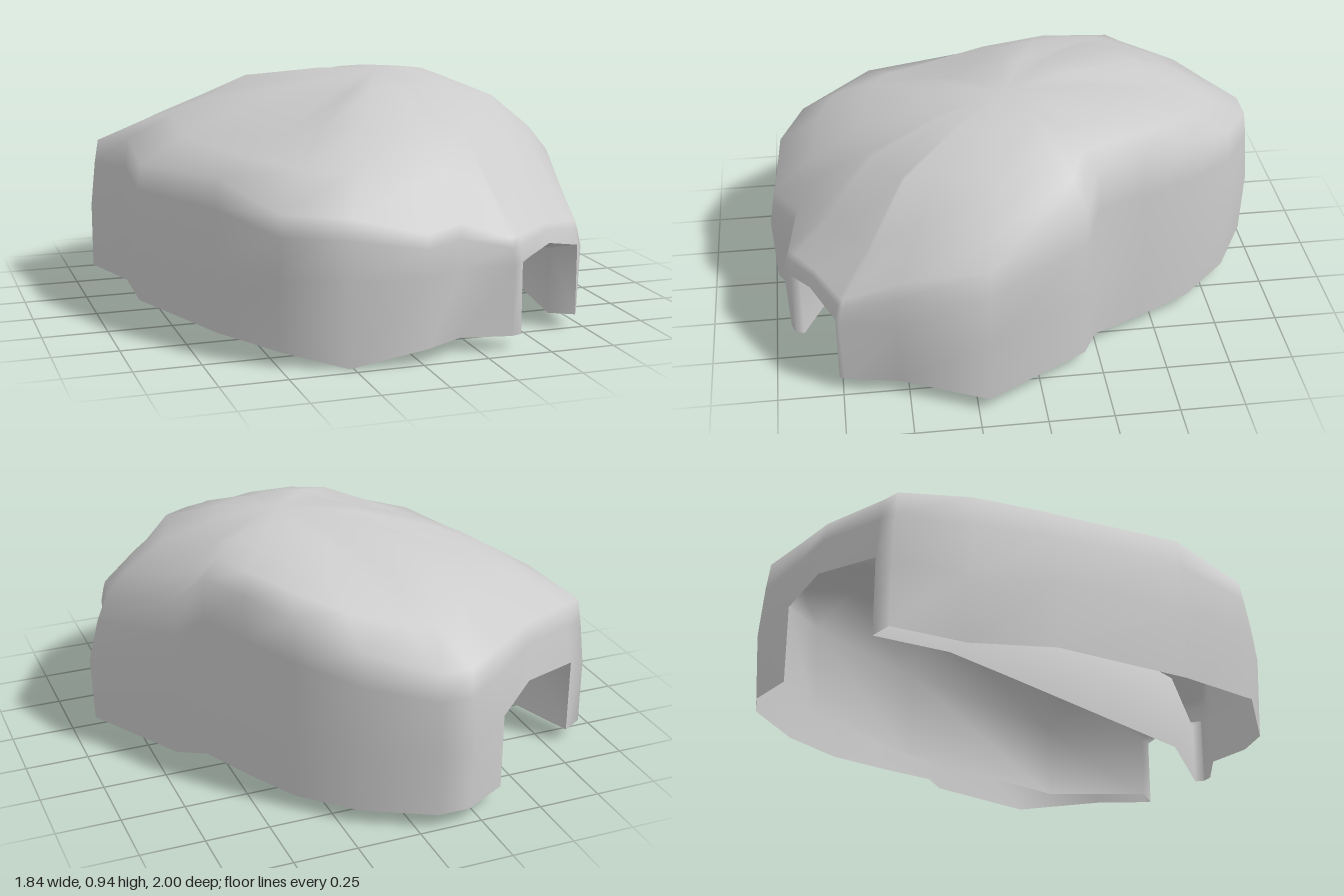
import * as THREE from 'three';

const BASE = 0.055;
const APEX = [0.15, 0.935, 0.06];

// Wall columns, anticlockwise from above: x, z, brow height, shoulder height,
// arch height at the mouths (else 0), brow inset, share of the rise below the shoulder
const columns = [
  [-0.92, -0.55, 0.6, 0.78], [-0.84, -0.27, 0.65, 0.83], [-0.85, 0.05, 0.6, 0.8],
  [-0.66, 0.57, 0.63, 0.74], [-0.5, 0.87, 0.55, 0.785], [-0.27, 0.97, 0.54, 0.785],
  [0.02, 1.0, 0.47, 0.78], [0.18, 0.91, 0.48, 0.79], [0.37, 0.95, 0.42, 0.78, 0, 0.03, 0.45],
  [0.41, 0.925, 0.42, 0.78, 0.33, 0.03, 0.42], [0.55, 0.85, 0.44, 0.79, 0.37, 0.03, 0.4],
  [0.71, 0.762, 0.42, 0.79, 0.33, 0.03, 0.4], [0.73, 0.75, 0.42, 0.79, 0, 0.03, 0.4],
  [0.77, 0.54, 0.5, 0.82], [0.92, 0.21, 0.59, 0.82, 0, 0.1, 0.43],
  [0.69, -0.19, 0.7, 0.88], [0.58, -0.25, 0.81, 0.905], [0.485, -0.455, 0.8, 0.9],
  [0.37, -0.67, 0.775, 0.89], [0.18, -0.86, 0.7, 0.875], [-0.08, -1.0, 0.63, 0.835],
  [-0.21, -1.0, 0.63, 0.835], [-0.385, -0.89, 0.64, 0.855, 0.36], [-0.54, -0.79, 0.655, 0.86, 0.43],
  [-0.835, -0.6, 0.61, 0.805, 0.36],
];
const N = columns.length;
const DIP = 5;                       // column whose foot reaches the ground
const DOOR = 9, MOUTH = 22;          // first column of each opening
const mix = THREE.MathUtils.lerp;

// Points of one wall column from foot to crown
function columnPoints(i) {
  const [x, z, brow, shoulder, arch = 0, inset = 0.03, rise = 0.53] = columns[i];
  const at = (t, y) => [mix(x, APEX[0], t), y, mix(z, APEX[2], t)];
  const middle = arch || 0.32;
  return [
    at(arch || i === 0 ? 0 : 0.012, i === DIP ? 0 : BASE),
    at(0, middle),
    at(inset * 0.55, mix(middle, brow, 0.65)),
    at(inset, brow),
    at(0.2, mix(brow, shoulder, rise)),
    at(0.4, shoulder),
    at(0.7, mix(shoulder, APEX[1], 0.68)),
  ];
}

function makeMesh(name, points, index) {
  const geometry = new THREE.BufferGeometry();
  geometry.setAttribute('position', new THREE.Float32BufferAttribute(points.flat(), 3));
  geometry.setIndex(index);
  geometry.computeVertexNormals();
  const mesh = new THREE.Mesh(geometry, new THREE.MeshStandardMaterial({ color: 0xcccccc, side: THREE.DoubleSide }));
  mesh.name = name;
  return mesh;
}

// Rock shell, left open below both arches and underneath
function makeShell() {
  const points = [], index = [];
  for (let i = 0; i < N; i++) points.push(...columnPoints(i));
  const rings = points.length / N;
  points.push(APEX);
  for (let i = 0; i < N; i++) {
    const a = i * rings, b = ((i + 1) % N) * rings;
    const open = [DOOR, DOOR + 1, MOUTH, MOUTH + 1].includes(i);
    for (let k = open ? 1 : 0; k < rings - 1; k++) {
      index.push(a + k, b + k, b + k + 1, a + k, b + k + 1, a + k + 1);
    }
    index.push(a + rings - 1, b + rings - 1, N * rings);
  }
  return makeMesh('rockShell', points, index);
}

// Cave sections from small door to wide mouth:
// one side x, z, other side x, z, spring height, peak x, y, z, roundness of the vault
const sections = [
  [0.41, 0.925, 0.71, 0.762, 0.33, 0.55, 0.37, 0.85, 0],
  [0.425, 0.89, 0.62, 0.71, 0.31, 0.53, 0.35, 0.8, 0],
  [0.04, 0.7, 0.68, 0.3, 0.36, 0.36, 0.5, 0.5, 0.04],
  [-0.56, -0.08, 0.3, -0.365, 0.42, -0.13, 0.6, -0.22, 0.05],
  [-0.74, -0.32, -0.124, -0.77, 0.4, -0.43, 0.52, -0.54, 0.03],
  [-0.835, -0.6, -0.385, -0.89, 0.36, -0.54, 0.43, -0.79, 0],
];

// Hollow interior, facing inward
function makeCave() {
  const points = [], index = [];
  sections.forEach(([lx, lz, rx, rz, spring, px, py, pz, round], s) => {
    const haunch = (x, z) => [(x + px) / 2, (spring + py) / 2 + round, (z + pz) / 2];
    points.push(
      [lx, BASE, lz], [lx, spring, lz], haunch(lx, lz), [px, py, pz],
      haunch(rx, rz), [rx, spring, rz], [rx, BASE, rz]);
    if (s === 0) return;
    for (let k = 0; k < 6; k++) {
      const a = (s - 1) * 7 + k, b = s * 7 + k;
      index.push(a, b, a + 1, a + 1, b, b + 1);
    }
  });
  return makeMesh('caveInterior', points, index);
}

export function createModel() {
  const group = new THREE.Group();
  group.name = 'hollowRock';
  group.add(makeShell(), makeCave());
  return group;
}
